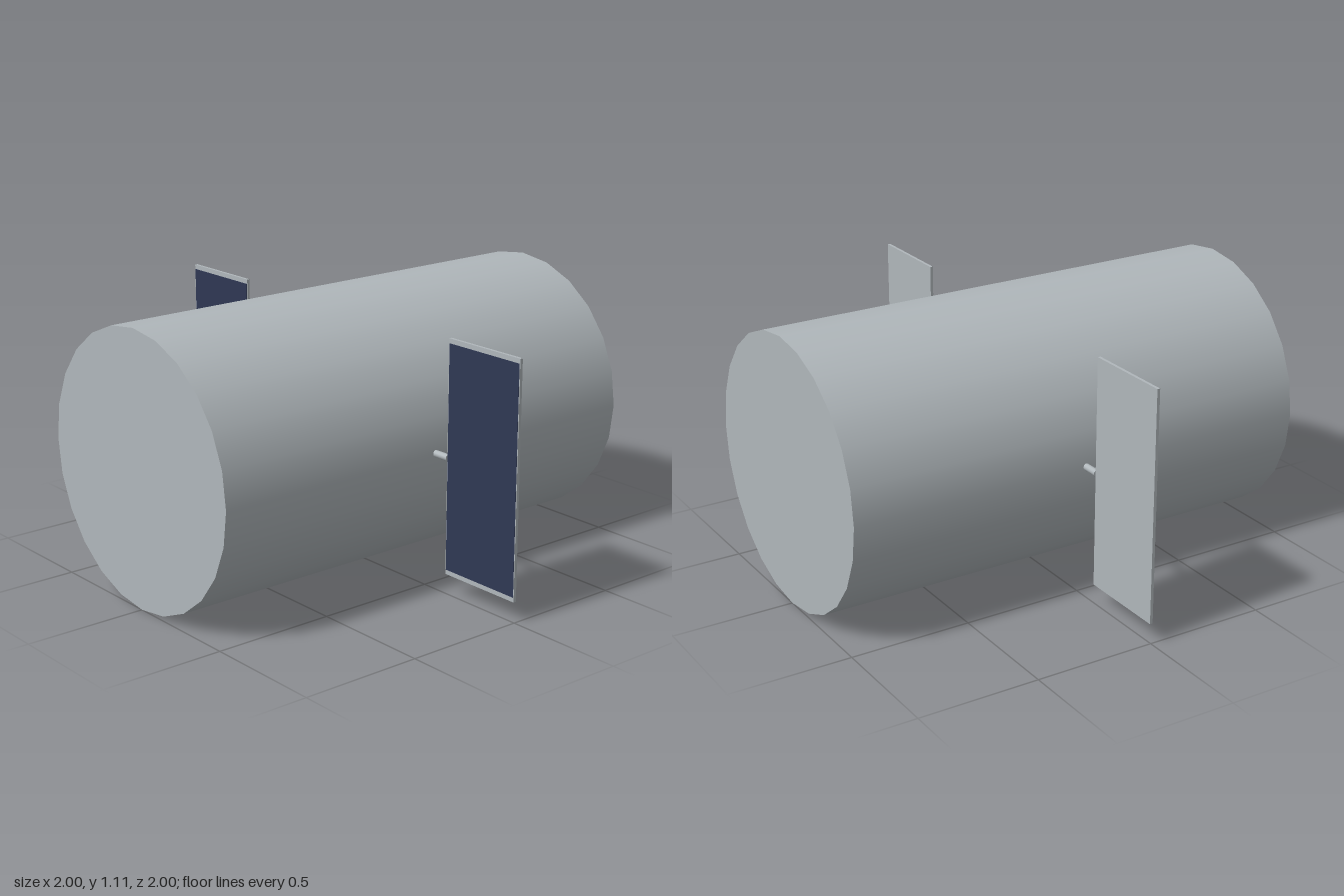
import * as THREE from 'three';

export function createModel() {
  const model = new THREE.Group();
  const metal = new THREE.MeshStandardMaterial({ color: 0xb0b7bb });
  metal.name = 'paleMetal';
  const cells = new THREE.MeshStandardMaterial({ color: 0x2f3854 });
  cells.name = 'navyCells';

  const radius = 0.555;
  const add = (name, geometry, material, parent) => {
    const mesh = new THREE.Mesh(geometry, material);
    mesh.name = name;
    parent.add(mesh);
    return mesh;
  };

  // Main hull: a 24-sided drum lying along z
  const hull = add('hull', new THREE.CylinderGeometry(radius, radius, 2, 24).rotateX(Math.PI / 2), metal, model);
  hull.position.y = radius;

  // A strut and a solar panel on each side
  for (const side of [1, -1]) {
    const wing = new THREE.Group();
    wing.name = side > 0 ? 'leftWing' : 'rightWing';
    wing.position.y = radius + 0.002;
    model.add(wing);

    const strut = add('strut', new THREE.CylinderGeometry(0.014, 0.014, 0.09, 12).rotateZ(Math.PI / 2), metal, wing);
    strut.position.x = side * 0.58;

    const panel = add('panelFrame', new THREE.BoxGeometry(0.375, 0.945, 0.012), metal, wing);
    panel.position.x = side * 0.8125;

    // Dark cells face forward only
    const face = add('solarCells', new THREE.BoxGeometry(0.368, 0.907, 0.002), cells, wing);
    face.position.set(side * 0.8125, 0, 0.0065);
  }
  return model;
}
